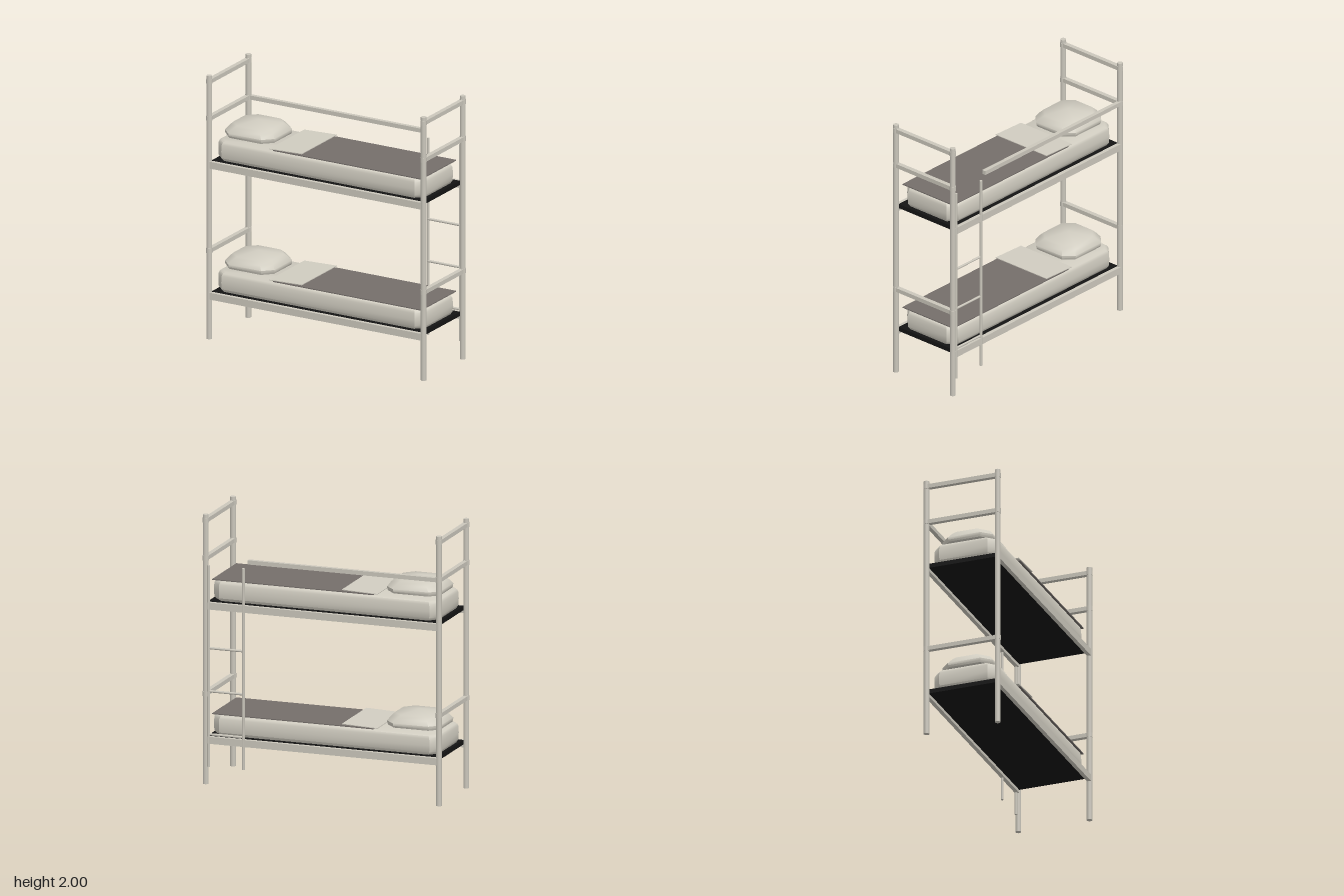
import * as THREE from 'three';
import { toCreasedNormals } from 'three/addons/utils/BufferGeometryUtils.js';

const mat = (name, color) => {
  const m = new THREE.MeshStandardMaterial({ color });
  m.name = name;
  return m;
};

export function createModel() {
  const model = new THREE.Group();
  model.name = 'bunkBed';
  const metal = mat('warm grey metal', 0xcac6bb);
  const linen = mat('cream linen', 0xd0ccc0);
  const wool = mat('grey blanket', 0x746e6a);
  const black = mat('black base', 0x141414);

  const add = (parent, name, geo, material, x = 0, y = 0, z = 0) => {
    const mesh = new THREE.Mesh(geo, material);
    mesh.name = name;
    mesh.position.set(x, y, z);
    parent.add(mesh);
    return mesh;
  };
  const box = (parent, name, material, w, h, d, x, y, z) =>
    add(parent, name, new THREE.BoxGeometry(w, h, d), material, x, y, z);
  const rod = (parent, name, r, h, x, y, z, sides = 12) =>
    add(parent, name, new THREE.CylinderGeometry(r, r, h, sides), metal, x, y, z);

  // Closed cushion from stacked chamfered rectangles: rings are [y, inset]
  const cushion = (hx, hz, chamfer, rings, topY, crease) => {
    const pos = [], index = [], n = 8;
    for (const [y, inset] of rings) {
      const a = hx - inset, b = hz - inset, c = chamfer;
      for (const [x, z] of [[a, b - c], [a - c, b], [c - a, b], [-a, b - c],
        [-a, c - b], [c - a, -b], [a - c, -b], [a, c - b]]) pos.push(x, y, z);
    }
    const bottom = pos.length / 3, top = bottom + 1;
    pos.push(0, rings[0][0], 0, 0, topY, 0);
    const last = (rings.length - 1) * n;
    for (let i = 0; i < n; i++) {
      const j = (i + 1) % n;
      for (let r = 0; r < last; r += n) {
        index.push(r + i, r + n + i, r + j, r + j, r + n + i, r + n + j);
      }
      index.push(bottom, i, j, top, last + j, last + i);
    }
    const geo = new THREE.BufferGeometry();
    geo.setAttribute('position', new THREE.Float32BufferAttribute(pos, 3));
    // Ring points run clockwise seen from above, so turn the faces outward
    for (let i = 0; i < index.length; i += 3) {
      const p = [0, 1, 2].map((k) => new THREE.Vector3().fromArray(pos, index[i + k] * 3));
      const normal = p[1].clone().sub(p[0]).cross(p[2].clone().sub(p[0]));
      const out = p[0].clone().add(p[1]).add(p[2]).divideScalar(3);
      out.y -= (rings[0][0] + topY) / 2;
      if (normal.dot(out) < 0) [index[i + 1], index[i + 2]] = [index[i + 2], index[i + 1]];
    }
    geo.setIndex(index);
    return toCreasedNormals(geo, crease);
  };

  // Posts, with end rails and their joint collars
  for (const x of [-0.897, 0.897]) {
    for (const z of [-0.275, 0.275]) {
      rod(model, 'post', 0.021, 2, x, 1, z);
      for (const y of [1.957, 1.676, 0.671]) rod(model, 'collar', 0.0235, 0.036, x, y, z);
    }
    for (const y of [1.957, 1.676, 0.671]) {
      box(model, 'endRail', metal, 0.034, 0.031, 0.53, x, y, 0);
    }
  }

  // One bed, measured from the underside of its side rails
  const makeBed = (y) => {
    const bed = new THREE.Group();
    bed.name = 'bed';
    bed.position.y = y;
    model.add(bed);
    for (const z of [-0.277, 0.277]) {
      box(bed, 'sideRail', metal, 1.8, 0.052, 0.03, 0, 0.028, z);
    }
    box(bed, 'base', black, 1.765, 0.032, 0.525, 0, 0.042, 0);
    const mattress = cushion(0.87, 0.248, 0.06,
      [[0.059, 0.014], [0.08, 0.002], [0.13, 0], [0.18, 0.002], [0.198, 0.009], [0.207, 0.022]], 0.207, 0.7);
    add(bed, 'mattress', mattress, linen, -0.003, 0, 0);
    const pillow = cushion(0.207, 0.195, 0.07,
      [[0.224, 0.006], [0.238, 0.001], [0.256, 0], [0.288, 0.022], [0.311, 0.044]], 0.335, 0.75);
    add(bed, 'pillow', pillow, linen, -0.648, 0, 0);
    // Blanket with the sheet turned back over its head end
    box(bed, 'blanket', wool, 1.24, 0.007, 0.49, 0.24, 0.215, 0);
    const fold = box(bed, 'foldedSheet', linen, 0.272, 0.005, 0.492, -0.276, 0.226, 0);
    fold.rotation.z = 0.035;
  };
  makeBed(1.296);
  makeBed(0.3);

  // Guard rail along the back
  box(model, 'guardRail', metal, 1.465, 0.031, 0.03, -0.165, 1.676, -0.278);

  // Ladder at the back
  const ladder = new THREE.Group();
  ladder.name = 'ladder';
  model.add(ladder);
  for (const x of [0.604, 0.872]) rod(ladder, 'ladderRail', 0.0105, 1.495, x, 0.878, -0.283, 10);
  for (const y of [0.37, 0.69, 1.01, 1.33]) {
    rod(ladder, 'rung', 0.009, 0.268, 0.738, y, -0.28, 10).rotation.z = Math.PI / 2;
  }
  return model;
}
